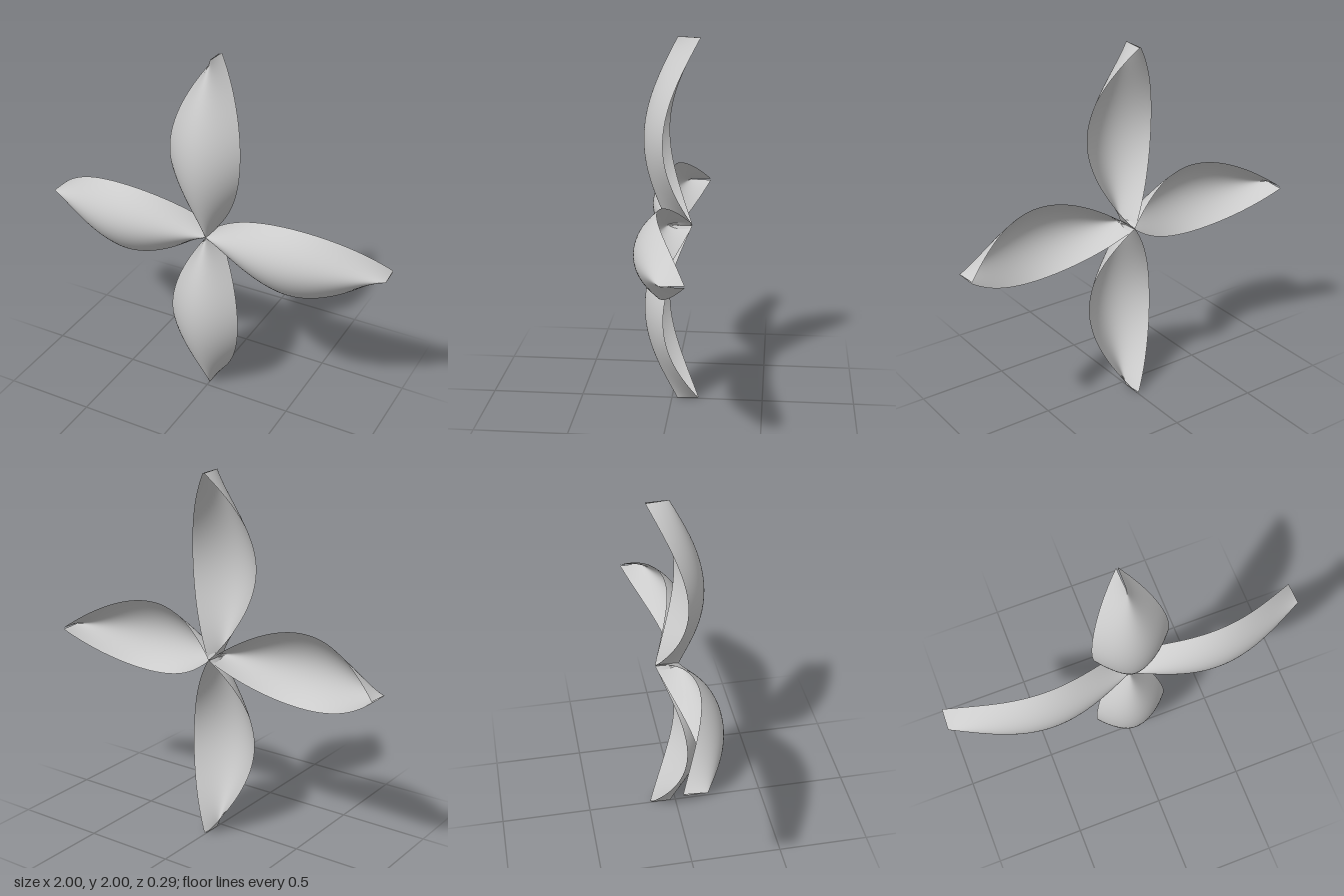
import * as THREE from 'three';

// One blade: a thin curved sheet along +y, arched forward, parabolic across its width
function bladeGeometry(along = 48, across = 24) {
  const geo = new THREE.PlaneGeometry(2, 1, across, along);
  const p = geo.attributes.position;
  for (let i = 0; i < p.count; i++) {
    const v = p.getX(i);          // -1..1 across the blade
    const u = p.getY(i) + 0.5;    // 0 at the hub, 1 at the tip
    const inner = -0.02 + 0.022 * v * v, outer = 1 - 0.005 * v * v;
    const halfWidth = 0.004 + 0.8 * u * (1 - u);
    const ridge = -0.03 + 0.039 * (1 - u) + 0.157 * Math.sin(Math.PI * u);
    p.setXYZ(i, v * halfWidth, inner + (outer - inner) * u, ridge - 0.118 * v * v);
  }
  geo.computeVertexNormals();
  return geo;
}

export function createModel() {
  const group = new THREE.Group();
  group.name = 'propeller';
  const material = new THREE.MeshStandardMaterial({ color: 0xcccccc, side: THREE.DoubleSide });
  const geometry = bladeGeometry();

  // Four equal blades crossing at the hub
  ['topBlade', 'leftBlade', 'bottomBlade', 'rightBlade'].forEach((name, i) => {
    const blade = new THREE.Mesh(geometry, material);
    blade.name = name;
    blade.position.y = 1;
    blade.rotation.z = -i * Math.PI / 2;
    group.add(blade);
  });
  return group;
}
